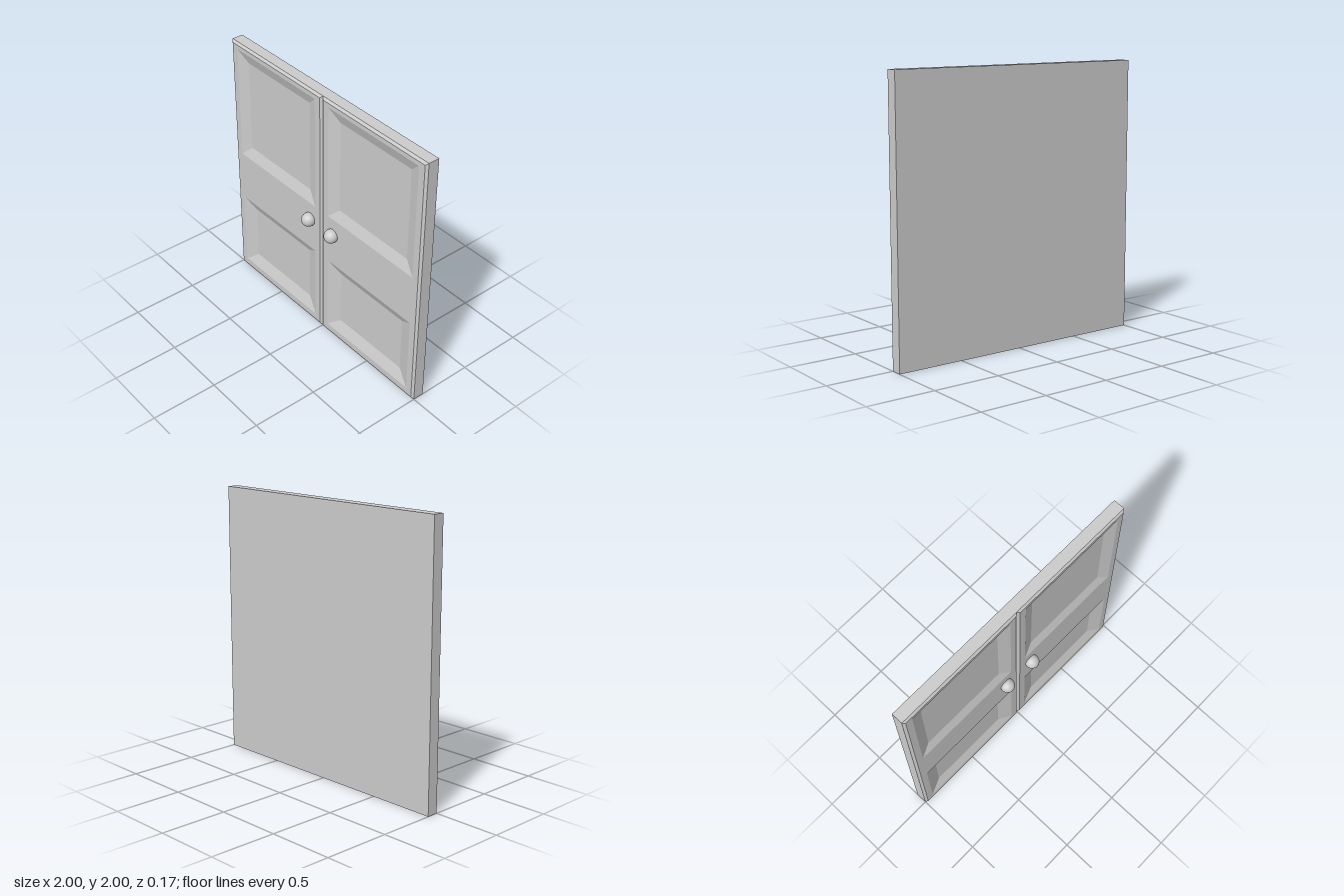
import * as THREE from 'three';

const BACK = -0.084, EDGE = 0.0, FRONT = 0.014, CHAMFER = 0.018;

// Corners of a rectangle {x:[min,max], y:[min,max], z}, counter-clockwise from the front
const corners = ({ x, y, z }) => [
  [x[0], y[0], z], [x[1], y[0], z], [x[1], y[1], z], [x[0], y[1], z],
];

// Flat-sided skin through a series of rectangles, optionally capped at first / last
function loftRects(rects, capFirst, capLast) {
  const pos = [];
  const quad = (a, b, c, d) => pos.push(...a, ...b, ...c, ...a, ...c, ...d);
  const loops = rects.map(corners);
  for (let k = 0; k + 1 < loops.length; k++) {
    for (let i = 0; i < 4; i++) {
      const j = (i + 1) % 4;
      quad(loops[k][i], loops[k][j], loops[k + 1][j], loops[k + 1][i]);
    }
  }
  if (capFirst) quad(...[...loops[0]].reverse());
  if (capLast) quad(...loops[loops.length - 1]);
  const geo = new THREE.BufferGeometry();
  geo.setAttribute('position', new THREE.Float32BufferAttribute(pos, 3));
  geo.computeVertexNormals();
  return geo;
}

// Recessed panels, given for the +x door
const PANELS = [
  { name: 'upperPanel', outer: { x: [0.07, 0.93], y: [1.07, 1.95] }, inner: { x: [0.16, 0.84], y: [1.155, 1.865] }, depth: 0.03 },
  { name: 'lowerPanel', outer: { x: [0.07, 0.93], y: [0.07, 0.675] }, inner: { x: [0.18, 0.82], y: [0.16, 0.597] }, depth: 0.035 },
];

export function createModel() {
  const model = new THREE.Group();
  model.name = 'doubleDoor';
  const flat = new THREE.MeshStandardMaterial({ color: 0xcccccc, flatShading: true });
  const smooth = new THREE.MeshStandardMaterial({ color: 0xcccccc });

  const add = (parent, name, geo, mat) => {
    const mesh = new THREE.Mesh(geo, mat);
    mesh.name = name;
    parent.add(mesh);
    return mesh;
  };

  for (const side of [1, -1]) {
    const door = new THREE.Group();
    door.name = side > 0 ? 'leftDoor' : 'rightDoor';
    model.add(door);
    // Mirror a rectangle's x range onto this door
    const place = (r, z) => ({ x: side > 0 ? r.x : [-r.x[1], -r.x[0]], y: r.y, z });

    // Slab with back, sides and chamfered front edge
    const full = { x: [0, 1], y: [0, 2] };
    const face = { x: [CHAMFER, 1 - CHAMFER], y: [CHAMFER, 2 - CHAMFER] };
    add(door, 'slab', loftRects([place(full, BACK), place(full, EDGE), place(face, FRONT)], true, false), flat);

    // Front face with openings for the panels
    const outline = (r) => corners(place(r, 0)).map(([x, y]) => new THREE.Vector2(x, y));
    const shape = new THREE.Shape(outline(face));
    for (const p of PANELS) shape.holes.push(new THREE.Path(outline(p.outer)));
    add(door, 'frontFrame', new THREE.ShapeGeometry(shape).translate(0, 0, FRONT), flat);

    // Sunken panels with sloping borders
    for (const p of PANELS) {
      add(door, p.name, loftRects([place(p.outer, FRONT), place(p.inner, FRONT - p.depth)], false, true), flat);
    }

    // Round knob beside the central seam
    add(door, 'knob', new THREE.SphereGeometry(0.052, 32, 20), smooth).position.set(side * 0.125, 0.935, 0.032);
  }
  return model;
}
